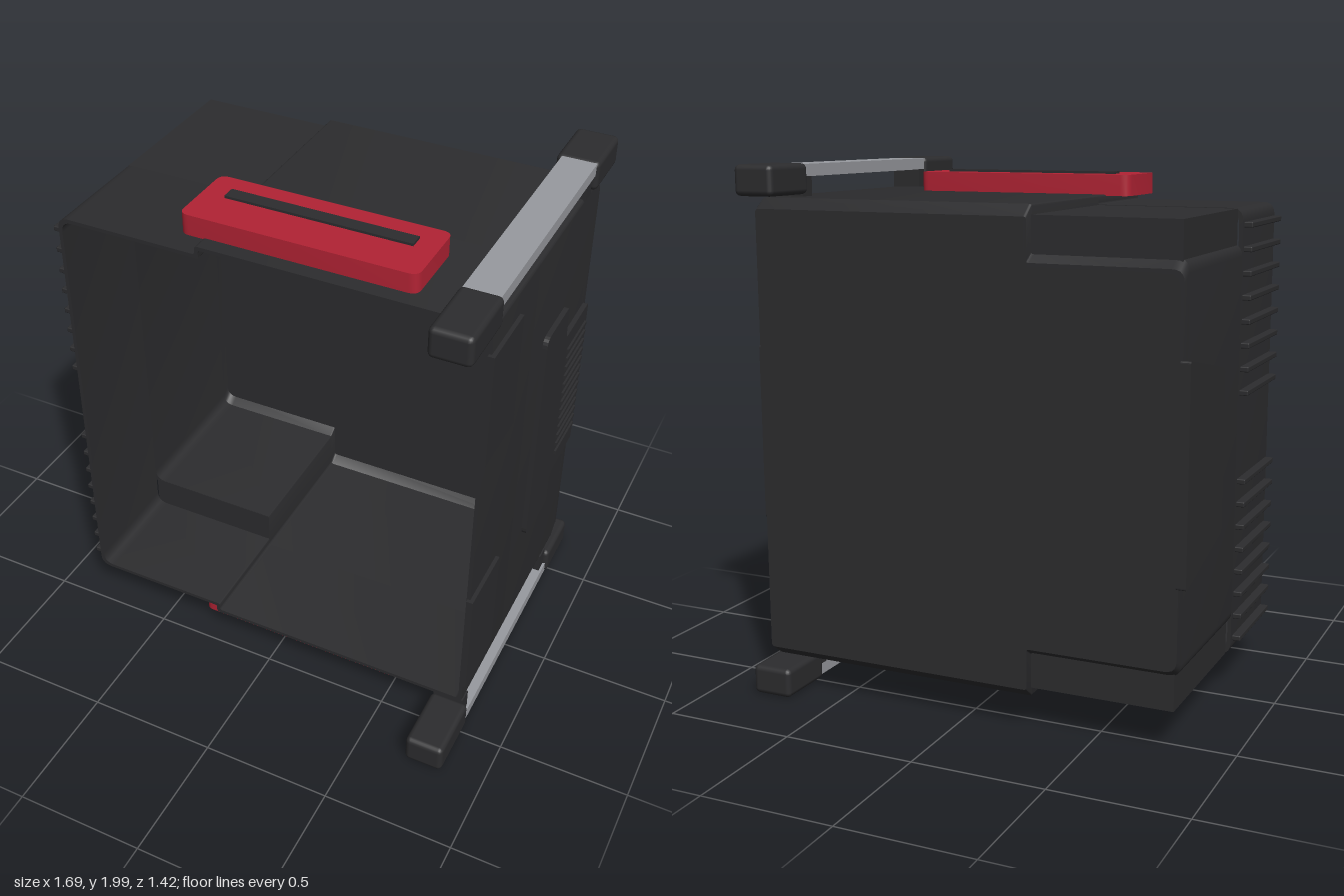
import * as THREE from 'three';
import { toCreasedNormals } from 'three/addons/utils/BufferGeometryUtils.js';
import { RoundedBoxGeometry } from 'three/addons/geometries/RoundedBoxGeometry.js';

const dark = new THREE.MeshStandardMaterial({ color: 0x2c2c2e, side: THREE.DoubleSide });
const red = new THREE.MeshStandardMaterial({ color: 0xb22334 });
const grey = new THREE.MeshStandardMaterial({ color: 0x989a9f });

const CENTER = 1.007; // mid-height; all parts are built around y = 0
const HALF = 0.873;   // half height of the case

function add(parent, name, geometry, material = dark) {
  const mesh = new THREE.Mesh(geometry, material);
  mesh.name = name;
  parent.add(mesh);
  return mesh;
}

// Box given by its extents, optionally with rounded edges
function box(x0, x1, y0, y1, z0, z1, r = 0) {
  const size = [x1 - x0, y1 - y0, z1 - z0];
  const g = r ? new RoundedBoxGeometry(...size, 2, r) : new THREE.BoxGeometry(...size);
  return g.translate((x0 + x1) / 2, (y0 + y1) / 2, (z0 + z1) / 2);
}

// Closed outline with rounded corners; points are [x, y, radius]
function rounded(points, PathType = THREE.Shape) {
  const path = new PathType();
  const n = points.length;
  points.forEach(([x, y, r = 0], i) => {
    const p = new THREE.Vector2(x, y);
    const toward = (q) => {
      const d = new THREE.Vector2(q[0], q[1]).sub(p);
      const len = d.length();
      return d.multiplyScalar(Math.min(r, len * 0.45) / len).add(p);
    };
    const a = toward(points[(i + n - 1) % n]);
    const b = toward(points[(i + 1) % n]);
    if (i === 0) path.moveTo(a.x, a.y);
    else path.lineTo(a.x, a.y);
    if (r) path.quadraticCurveTo(x, y, b.x, b.y);
  });
  path.closePath();
  return path;
}

// Stepped case outline: h is the half height of the narrower side, t an inset
function caseOutline(h, t, PathType) {
  const L = -0.815 + t, S = -0.26 + t, R = 0.815 - t, H = HALF - t, k = h - t;
  return rounded([
    [R, -H, 0.015], [R, H, 0.015], [S, H, 0.012], [S, k, 0.008],
    [L, k, 0.045], [L, -k, 0.045], [S, -k, 0.008], [S, -H, 0.012],
  ], PathType);
}

function extrude(shape, z0, z1) {
  return new THREE.ExtrudeGeometry(shape, { depth: z1 - z0, bevelEnabled: false, curveSegments: 5 })
    .translate(0, 0, z0);
}

function sleeve(h, z0, z1) {
  const shape = caseOutline(h, 0);
  shape.holes.push(caseOutline(h, 0.014, THREE.Path));
  return extrude(shape, z0, z1);
}

// Pull the rear of a slice in vertically, leaving a chamfer
function taperRear(g, limit) {
  const p = g.attributes.position;
  for (let i = 0; i < p.count; i++) if (p.getZ(i) < limit) p.setY(i, p.getY(i) * 0.955);
  g.computeVertexNormals();
  return g;
}

// Plate on a side wall: points are [z, y, radius], thickness runs x0..x1
function sidePlate(points, x0, x1) {
  const shape = rounded(points.map(([z, y, r]) => [-z, y, r]));
  return extrude(shape, x0, x1).rotateY(Math.PI / 2);
}

function buildCase() {
  const g = new THREE.Group();
  g.name = 'case';
  const crease = (geo) => toCreasedNormals(geo, 0.6);

  // Open-fronted shell with a recess in both rear corners
  add(g, 'frontSleeve', crease(sleeve(0.84, 0.03, 0.46)));
  add(g, 'rearSleeve', crease(sleeve(0.713, -0.57, 0.03)));
  add(g, 'rearChamfer', crease(taperRear(sleeve(0.713, -0.62, -0.57), -0.6)));
  add(g, 'backWall', taperRear(extrude(caseOutline(0.713, 0.001), -0.62, -0.607), 0));
  for (const s of [1, -1]) {
    const block = add(g, 'cornerBlock', box(-0.795, -0.255, 0.7, 0.838, -0.58, 0.031));
    block.scale.y = s;
  }

  // Cooling fins in two stacks on one side
  for (const s of [1, -1]) {
    for (let i = 0; i < 8; i++) {
      const y = s * (0.78 - i * 0.0875);
      add(g, 'coolingFin', box(-0.846, -0.81, y - 0.01, y + 0.01, 0.05, 0.45, 0.004));
    }
  }
  // Tapered plate at the rear of the finned side
  add(g, 'rearSidePlate', sidePlate(
    [[-0.632, 0.39, 0.01], [-0.632, -0.385, 0.01], [-0.24, -0.28, 0.02], [-0.24, 0.31, 0.02]], -0.846, -0.81));

  // Clip plates at the front of the other side
  for (const s of [1, -1]) {
    add(g, 'clipPlate', box(0.805, 0.83, s * 0.545 - 0.225, s * 0.545 + 0.225, 0.205, 0.474));
  }

  // Stepped plate carrying a row of grip ribs
  add(g, 'gripPlate', sidePlate([
    [-0.10, 0.473, 0.04], [-0.34, 0.473, 0.02], [-0.34, 0.332, 0.02], [-0.6, 0.332, 0.01],
    [-0.6, -0.327, 0.01], [-0.34, -0.327, 0.02], [-0.34, -0.473, 0.02], [-0.10, -0.473, 0.04],
  ], 0.81, 0.834));
  for (let i = -6; i <= 6; i++) {
    const y = 0.008 + i * 0.0413;
    add(g, 'gripRib', box(0.83, 0.842, y - 0.008, y + 0.008, -0.58, -0.367));
  }
  return g;
}

// Handle pad and rail for the upper end
function buildEnd() {
  const g = new THREE.Group();
  const pad = rounded([[-0.35, -0.40, 0.035], [0.53, -0.40, 0.035], [0.53, -0.11, 0.035], [-0.35, -0.11, 0.035]]);
  add(g, 'redPad', toCreasedNormals(extrude(pad, 0.868, 0.947).rotateX(-Math.PI / 2), 0.6), red);
  add(g, 'padInsert', box(-0.26, 0.445, 0.93, 0.956, 0.192, 0.245));

  add(g, 'railBar', box(0.70, 0.83, 0.945, 0.99, -0.48, 0.46), grey);
  add(g, 'railEndRear', box(0.68, 0.84, 0.882, 0.994, -0.712, -0.47, 0.02));
  add(g, 'railEndFront', box(0.69, 0.84, 0.882, 0.994, 0.448, 0.712, 0.02));
  add(g, 'railFootRear', box(0.70, 0.82, 0.865, 0.946, -0.48, -0.418));
  add(g, 'railFootFront', box(0.70, 0.82, 0.865, 0.946, 0.405, 0.46));
  return g;
}

export function createModel() {
  const model = new THREE.Group();
  model.name = 'enclosure';
  const body = new THREE.Group();
  body.name = 'body';
  body.position.y = CENTER;
  body.add(buildCase());
  for (const s of [1, -1]) {
    const end = buildEnd();
    end.name = s > 0 ? 'upperEnd' : 'lowerEnd';
    end.scale.y = s;
    body.add(end);
  }
  model.add(body);
  return model;
}
